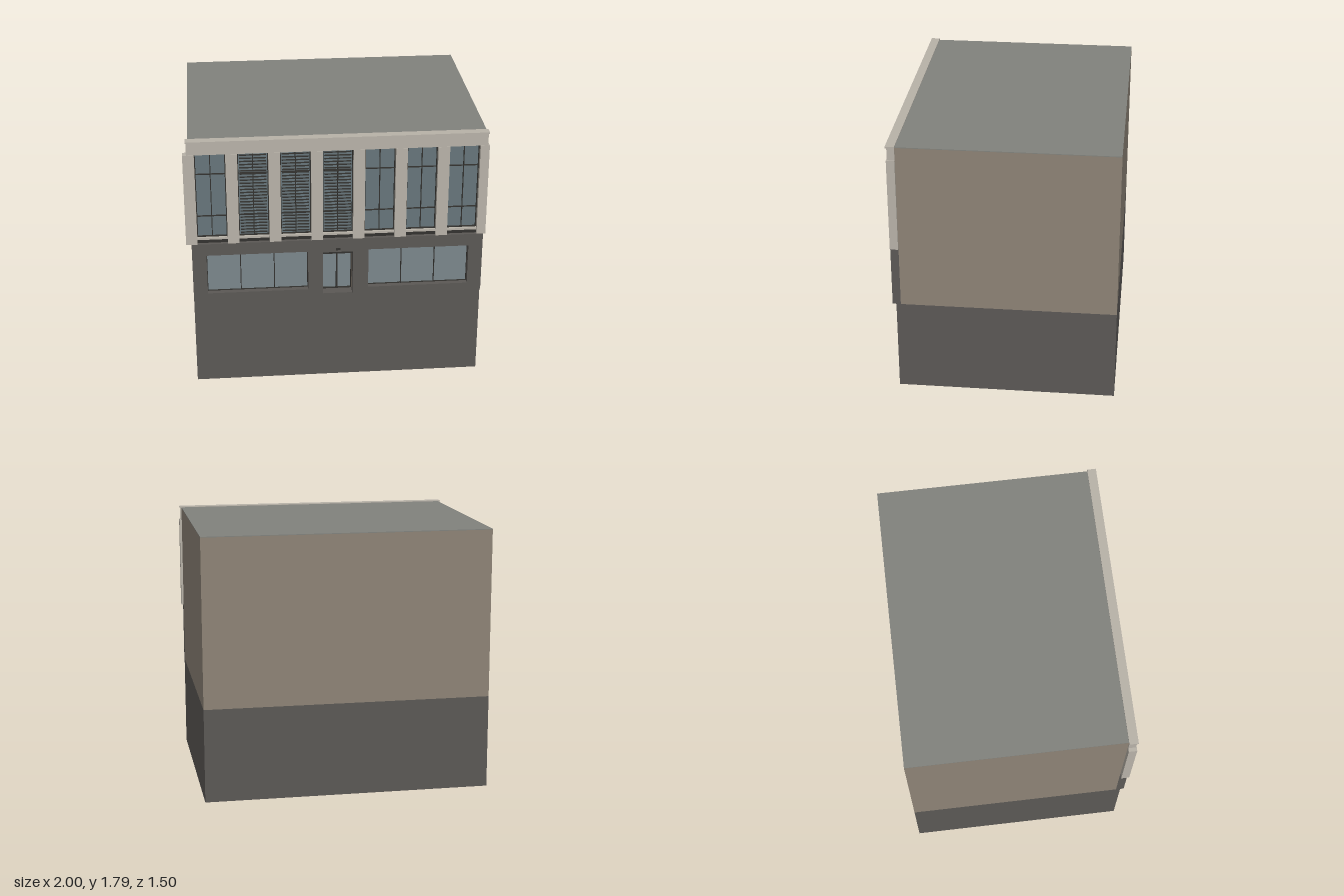
import * as THREE from 'three';

const mat = (color) => new THREE.MeshStandardMaterial({ color });
const mats = {
  dark: mat(0x5b5855), brick: mat(0x8d8376), stone: mat(0xb8b2a8),
  roof: mat(0x81827d), glass: mat(0x7b868b), tint: mat(0x66757a), frame: mat(0x33322f),
};

// Box given by its extents on each axis
function box(parent, name, m, [x0, x1], [y0, y1], [z0, z1]) {
  const mesh = new THREE.Mesh(new THREE.BoxGeometry(x1 - x0, y1 - y0, z1 - z0), mats[m]);
  mesh.position.set((x0 + x1) / 2, (y0 + y1) / 2, (z0 + z1) / 2);
  mesh.name = name;
  parent.add(mesh);
  return mesh;
}

function group(parent, name) {
  const g = new THREE.Group();
  g.name = name;
  parent.add(g);
  return g;
}

// Four thin bars around an opening
function border(parent, m, [x0, x1], [y0, y1], z, t) {
  box(parent, 'frameLeft', m, [x0, x0 + t], [y0, y1], z);
  box(parent, 'frameRight', m, [x1 - t, x1], [y0, y1], z);
  box(parent, 'frameBottom', m, [x0 + t, x1 - t], [y0, y0 + t], z);
  box(parent, 'frameTop', m, [x0 + t, x1 - t], [y1 - t, y1], z);
}

const L = -0.965, R = 0.98, BACK = -0.75;   // building walls
const WALL = 0.69, FRONT = 0.745;           // wall plane and facade plane
const DOOR = [-0.095, 0.105], DOOR_TOP = 0.965, DOOR_Z = 0.64;

function buildBody(parent) {
  const g = group(parent, 'body');
  box(g, 'base', 'dark', [L, R], [0, 0.64], [BACK, 0.72]);
  box(g, 'mainBlock', 'brick', [L, R], [0.64, 1.785], [BACK, DOOR_Z - 0.01]);
  // Front strip of the block, notched for the door recess
  const strip = [DOOR_Z - 0.01, WALL];
  box(g, 'wallLeftOfDoor', 'brick', [L, DOOR[0]], [0.64, DOOR_TOP], strip);
  box(g, 'wallRightOfDoor', 'brick', [DOOR[1], R], [0.64, DOOR_TOP], strip);
  box(g, 'wallAboveDoor', 'brick', [L, R], [DOOR_TOP, 1.785], strip);
  box(g, 'roof', 'roof', [L, R], [1.785, 1.79], [BACK, WALL]);
}

function rectPath(path, [x0, x1], [y0, y1]) {
  path.moveTo(x0, y0).lineTo(x1, y0).lineTo(x1, y1).lineTo(x0, y1).closePath();
  return path;
}

// Dark ground-floor front with two shop windows and a recessed double door
function buildShopFront(parent) {
  const g = group(parent, 'shopFront');
  const bays = [[-0.87, -0.195], [0.21, 0.885]], bayY = [0.69, 0.975];
  const shape = new THREE.Shape();
  [[L, 0.64], [DOOR[0], 0.64], [DOOR[0], DOOR_TOP], [DOOR[1], DOOR_TOP],
    [DOOR[1], 0.64], [R, 0.64], [R, 1.06], [L, 1.06]]
    .forEach(([x, y], i) => (i ? shape.lineTo(x, y) : shape.moveTo(x, y)));
  shape.holes = bays.map((b) => rectPath(new THREE.Path(), b, bayY));
  const wall = new THREE.Mesh(
    new THREE.ExtrudeGeometry(shape, { depth: FRONT - WALL, bevelEnabled: false }), mats.dark);
  wall.position.z = WALL;
  wall.name = 'shopWall';
  g.add(wall);

  for (const [x0, x1] of bays) {
    const w = group(g, 'shopWindow');
    box(w, 'pane', 'glass', [x0, x1], bayY, [WALL, 0.7]);
    border(w, 'frame', [x0, x1], bayY, [0.7, 0.708], 0.004);
    for (const k of [1, 2]) {
      const x = x0 + (x1 - x0) * k / 3;
      box(w, 'mullion', 'frame', [x - 0.003, x + 0.003], bayY, [0.7, 0.71]);
    }
  }

  const d = group(g, 'door');
  box(d, 'doorPane', 'glass', DOOR, [0.64, 0.95], [DOOR_Z - 0.005, DOOR_Z]);
  border(d, 'frame', DOOR, [0.64, 0.95], [DOOR_Z, DOOR_Z + 0.012], 0.006);
  box(d, 'doorStile', 'frame', [0, 0.01], [0.64, 0.95], [DOOR_Z, DOOR_Z + 0.012]);
  box(d, 'doorHead', 'frame', DOOR, [0.95, DOOR_TOP], [DOOR_Z - 0.005, 0.74]);
  box(g, 'plaque', 'frame', [-0.008, 0.02], [0.98, 0.995], [FRONT, 0.75]);
}

// Upper floor: seven tall windows between stone piers
function buildUpperFront(parent) {
  const g = group(parent, 'upperFront');
  const count = 7, pitch = 0.2767, half = 0.1, first = -0.825;
  for (let i = 0; i < count; i++) {
    const c = first + i * pitch, xs = [c - half, c + half], ys = [1.1, 1.7];
    const w = group(g, 'tallWindow');
    box(w, 'pane', 'tint', xs, ys, [WALL, 0.7]);
    border(w, 'frame', xs, ys, [0.7, 0.712], 0.006);
    box(w, 'mullion', 'frame', [c - 0.003, c + 0.003], ys, [0.7, 0.71]);
    for (const y of [1.25, 1.55])
      box(w, 'transom', 'frame', xs, [y - 0.003, y + 0.003], [0.7, 0.709]);
    // Slatted blinds on three of the windows
    if (i >= 1 && i <= 3) {
      for (let k = 0; k < 26; k++) {
        const y = 1.118 + k * 0.0222;
        box(w, 'slat', 'frame', [xs[0] + 0.012, xs[1] - 0.012], [y, y + 0.005], [0.7, 0.711]);
      }
    }
    box(w, 'sill', 'stone', xs, [1.086, 1.1], [WALL, 0.73]);
    box(w, 'sillBand', 'frame', xs, [1.06, 1.086], [WALL, 0.722]);
    // Pier to the right of this window; the last one wraps the corner
    const x1 = i < count - 1 ? c + pitch - half : 0.995;
    box(g, 'pier', 'stone', [xs[1], x1], [1.06, 1.7], [WALL, FRONT]);
  }
  box(g, 'pier', 'stone', [-1, first - half], [1.06, 1.7], [WALL, FRONT]);
  box(g, 'topBeam', 'stone', [-0.975, 0.985], [1.7, 1.785], [WALL, 0.74]);
  box(g, 'cornice', 'stone', [-0.98, 0.99], [1.785, 1.795], [WALL, 0.75]);
}

export function createModel() {
  const model = new THREE.Group();
  model.name = 'building';
  buildBody(model);
  buildShopFront(model);
  buildUpperFront(model);
  return model;
}
